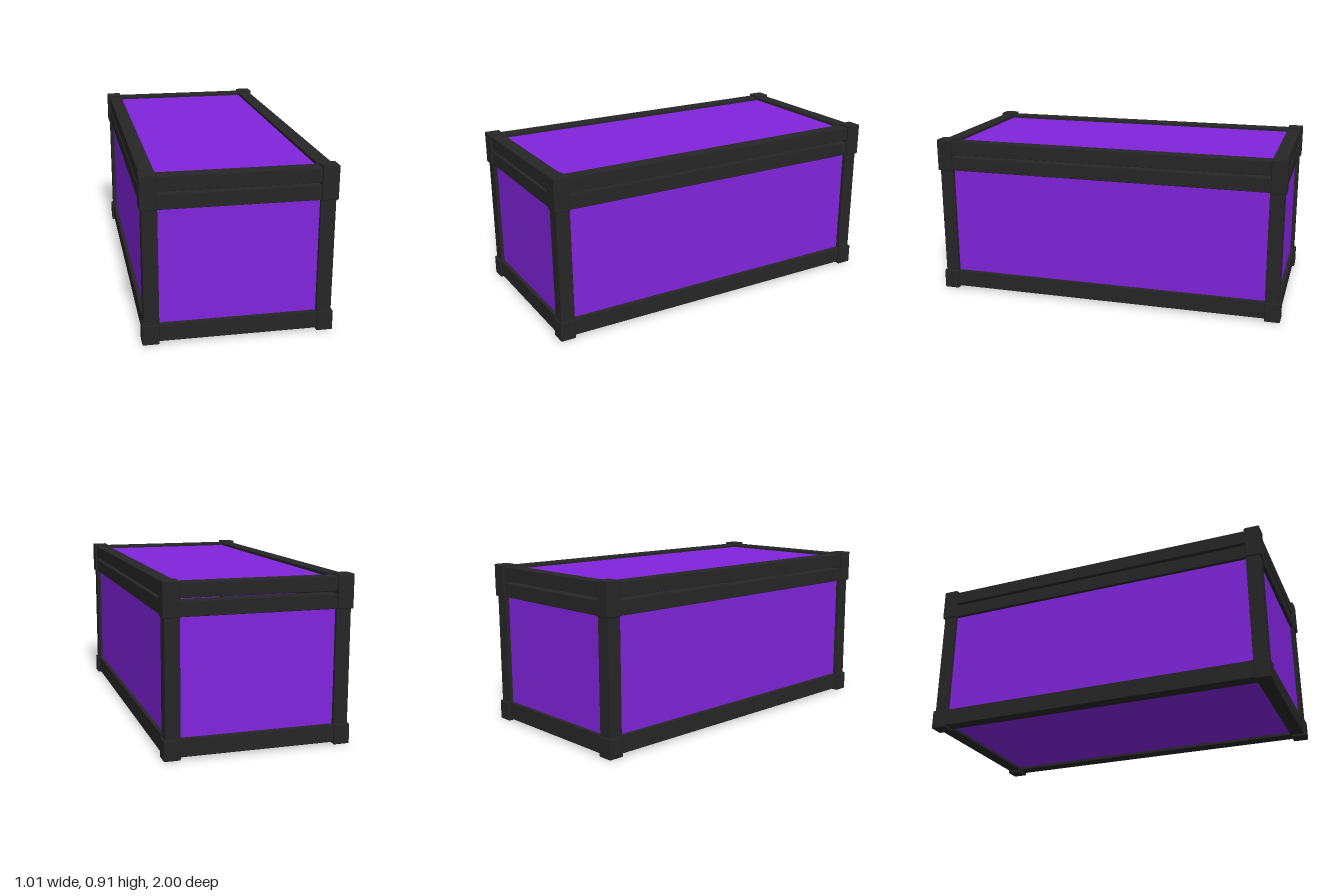
import * as THREE from 'three';
import { RoundedBoxGeometry } from 'three/addons/geometries/RoundedBoxGeometry.js';

const frameMat = new THREE.MeshStandardMaterial({ color: 0x262626 });
const panelMat = new THREE.MeshStandardMaterial({ color: 0x8024dc });

// Box given by its [min, max] extents on each axis; bevel > 0 softens the edges
function block(parent, name, mat, [x0, x1], [y0, y1], [z0, z1], bevel = 0) {
  const w = x1 - x0, h = y1 - y0, d = z1 - z0;
  const geo = bevel ? new RoundedBoxGeometry(w, h, d, 1, bevel) : new THREE.BoxGeometry(w, h, d);
  const mesh = new THREE.Mesh(geo, mat);
  mesh.name = name;
  mesh.position.set((x0 + x1) / 2, (y0 + y1) / 2, (z0 + z1) / 2);
  parent.add(mesh);
}

// Extent [a, b] mirrored to the given side
const side = (s, a, b) => (s > 0 ? [a, b] : [-b, -a]);

export function createModel() {
  const model = new THREE.Group();
  model.name = 'chest';
  const body = new THREE.Group();
  body.name = 'body';
  const lid = new THREE.Group();
  lid.name = 'lid';
  model.add(body, lid);

  // Horizontal rails: base, body rim and lid, separated by a thin open slot
  const rails = [
    [body, 'base', [0.013, 0.11]],
    [body, 'rim', [0.725, 0.803]],
    [lid, 'lid', [0.818, 0.895]],
  ];
  for (const s of [-1, 1]) {
    const end = s > 0 ? 'Front' : 'Back';
    const flank = s > 0 ? 'Left' : 'Right';
    for (const [parent, name, y] of rails) {
      block(parent, `${name}Rail${end}`, frameMat, [-0.43, 0.43], y, side(s, 0.912, 0.99), 0.003);
      block(parent, `${name}Rail${flank}`, frameMat, side(s, 0.415, 0.493), y, [-0.93, 0.93], 0.003);
    }

    // Wall panels set back from the frame
    block(body, `panel${end}`, panelMat, [-0.44, 0.44], [0.05, 0.76], side(s, 0.95, 0.97));
    block(body, `panel${flank}`, panelMat, side(s, 0.453, 0.473), [0.05, 0.76], [-0.95, 0.95]);

    // Corner posts and the thicker blocks capping them
    for (const t of [-1, 1]) {
      const corner = end + (t > 0 ? 'Left' : 'Right');
      block(body, `post${corner}`, frameMat, side(t, 0.415, 0.495), [0.09, 0.74], side(s, 0.912, 0.99), 0.003);
      const x = side(t, 0.417, 0.505), z = side(s, 0.914, 1);
      block(body, `foot${corner}`, frameMat, x, [0, 0.109], z, 0.005);
      block(lid, `topCorner${corner}`, frameMat, x, [0.724, 0.906], z, 0.005);
    }
  }

  // Floor and lid panels
  block(body, 'floorPanel', panelMat, [-0.44, 0.44], [0.03, 0.05], [-0.94, 0.94]);
  block(lid, 'lidPanel', panelMat, [-0.44, 0.44], [0.858, 0.878], [-0.94, 0.94]);

  return model;
}
